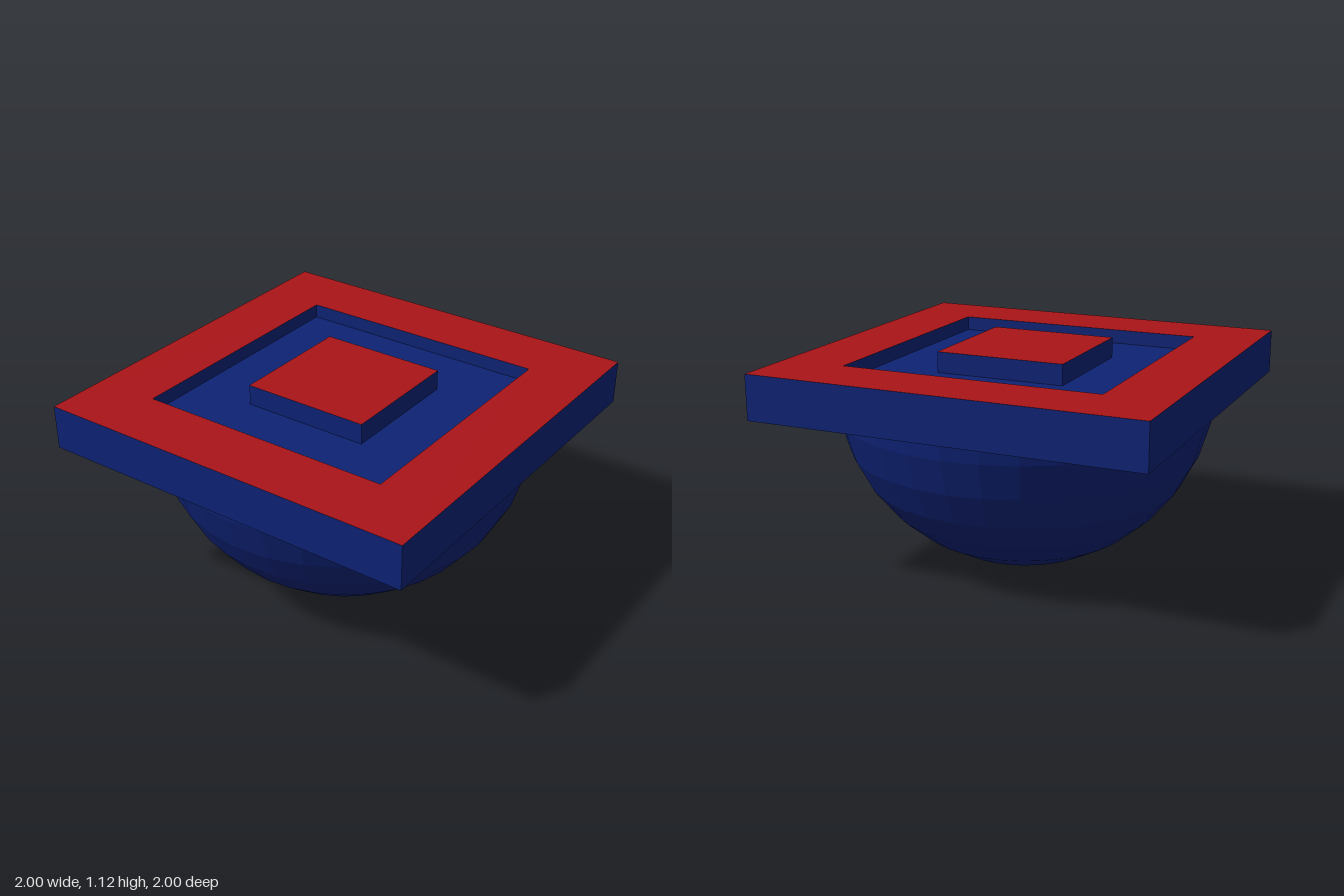
import * as THREE from 'three';

const blue = new THREE.MeshStandardMaterial({ color: 0x0e2274 });
const red = new THREE.MeshStandardMaterial({ color: 0xaa1418 });
const blueFacets = new THREE.MeshStandardMaterial({ color: 0x0e2274, flatShading: true, side: THREE.DoubleSide });

const BASE = 0.855, FLOOR = 1.01, RIM = 1.083, TOP = 1.115;

// Corners of a square with the given half side
function square(h) {
  return [[-h, -h], [h, -h], [h, h], [-h, h]].map(([x, y]) => new THREE.Vector2(x, y));
}

function add(group, name, geometry, material, x, y, z) {
  const mesh = new THREE.Mesh(geometry, material);
  mesh.name = name;
  mesh.position.set(x, y, z);
  group.add(mesh);
  return mesh;
}

export function createModel() {
  const model = new THREE.Group();
  model.name = 'squarePlateOnDome';

  // Lower half of a faceted sphere, its rim hidden inside the plate
  const dome = new THREE.SphereGeometry(0.96, 32, 8, 0, Math.PI * 2, Math.PI / 2, Math.PI / 2);
  add(model, 'dome', dome, blueFacets, 0, 0.96, -0.015);

  // Solid lower part of the plate, its top is the recess floor
  add(model, 'plateBase', new THREE.BoxGeometry(2, FLOOR - BASE, 2), blue, 0, (BASE + FLOOR) / 2, 0);

  // Raised square frame: red top, blue walls
  const outline = new THREE.Shape(square(1));
  outline.holes.push(new THREE.Path(square(2 / 3).reverse()));
  const frame = new THREE.ExtrudeGeometry(outline, { depth: RIM - FLOOR, bevelEnabled: false });
  frame.rotateX(-Math.PI / 2);
  add(model, 'frame', frame, [red, blue], 0, FLOOR, 0);

  // Centre block: red top, blue sides
  const block = new THREE.BoxGeometry(2 / 3, TOP - FLOOR, 2 / 3);
  add(model, 'centreBlock', block, [blue, blue, red, blue, blue, blue], 0, (TOP + FLOOR) / 2, 0);

  return model;
}
